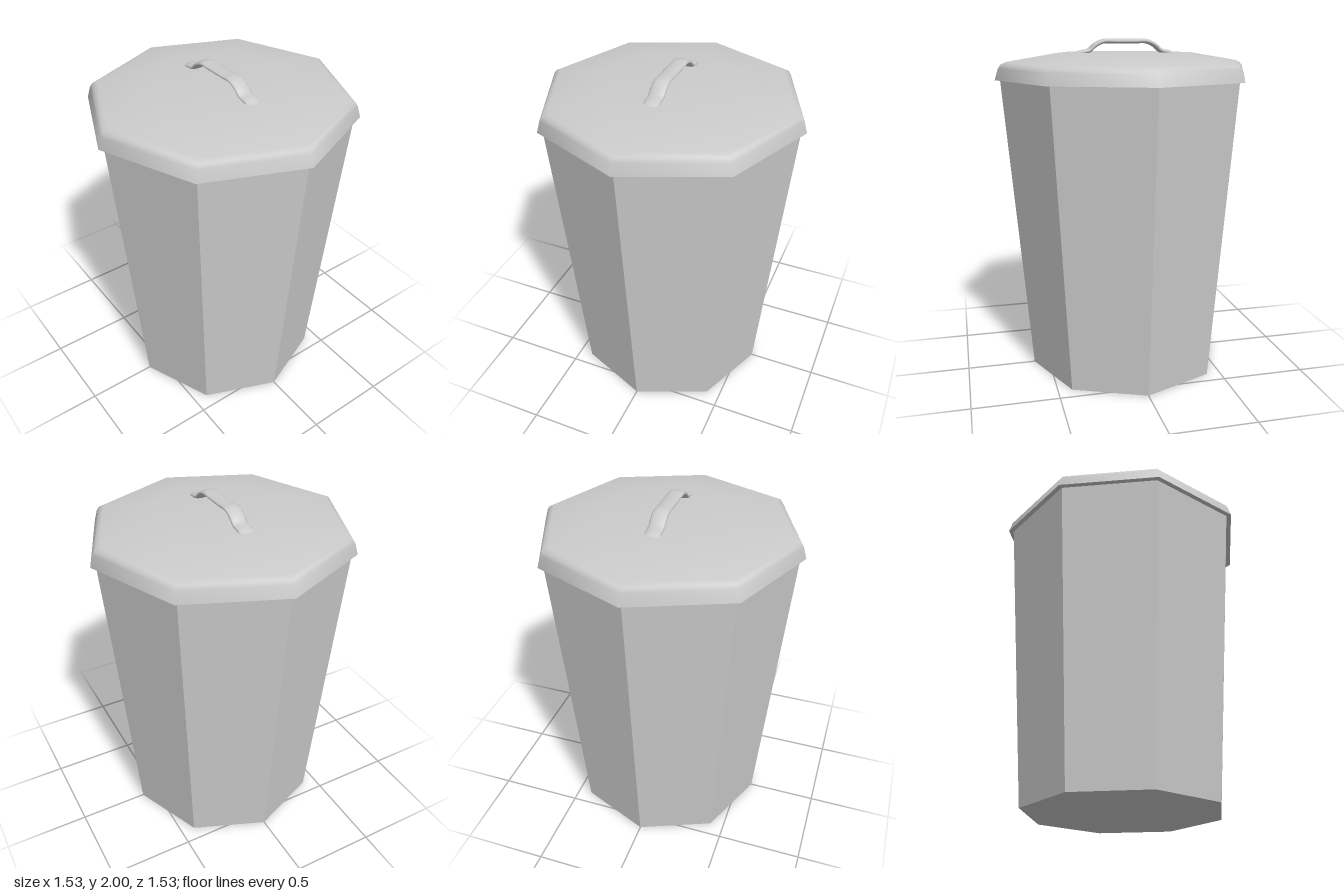
import * as THREE from 'three';

const SIDES = 8;

export function createModel() {
  const group = new THREE.Group();
  const smooth = new THREE.MeshStandardMaterial({ color: 0xcccccc });
  const flat = new THREE.MeshStandardMaterial({ color: 0xcccccc, flatShading: true });

  const add = (name, geometry, material) => {
    const mesh = new THREE.Mesh(geometry, material);
    mesh.name = name;
    group.add(mesh);
    return mesh;
  };

  // Tapered octagonal bin, corners on the axes
  const bodyHeight = 1.775;
  add('body', new THREE.CylinderGeometry(0.735, 0.59, bodyHeight, SIDES), flat)
    .position.y = bodyHeight / 2;

  // Shallow domed lid with a turned-down rim
  const lidProfile = [
    [0.765, 1.77], [0.745, 1.835], [0.73, 1.857], [0.7, 1.872], [0.41, 1.92], [0, 1.92],
  ].map(([r, y]) => new THREE.Vector2(r, y));
  add('lid', new THREE.LatheGeometry(lidProfile, SIDES), smooth);

  // Underside of the overhanging rim
  const rim = new THREE.RingGeometry(0.72, 0.765, SIDES);
  rim.rotateX(Math.PI / 2);
  add('lidRim', rim, flat).position.y = 1.77;

  // Strap handle: a tube widened across z, with its ends sunk in the lid
  const half = [[0.3, 1.908], [0.27, 1.921], [0.215, 1.933], [0.185, 1.961], [0.13, 1.986], [0.06, 1.986]];
  const path = [...half, ...half.map(([x, y]) => [-x, y]).reverse()]
    .map(([x, y]) => new THREE.Vector3(x, y, 0));
  const handle = new THREE.TubeGeometry(new THREE.CatmullRomCurve3(path), 32, 0.014, 12);
  handle.scale(1, 1, 0.046 / 0.014);
  add('handle', handle, smooth);

  return group;
}
